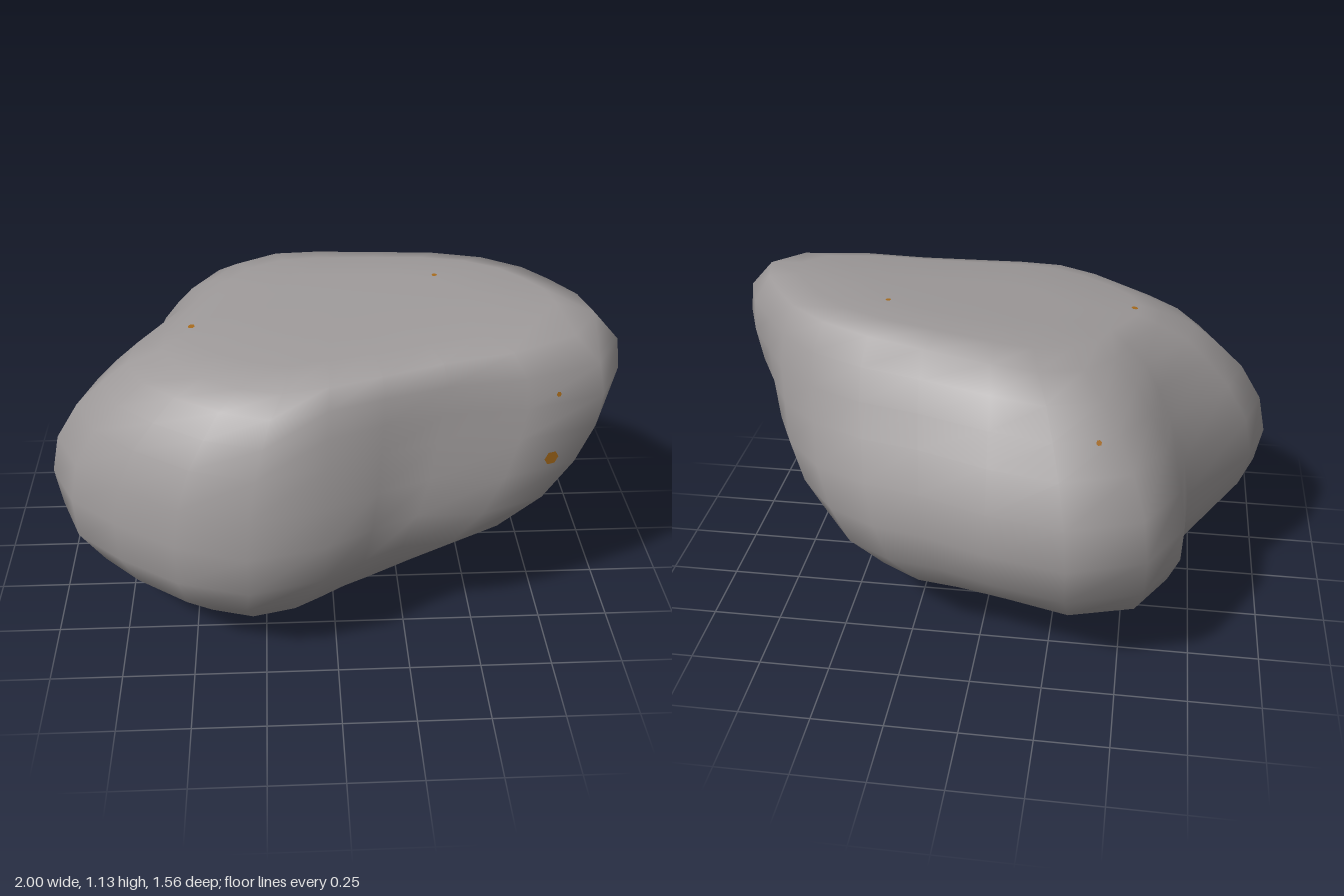
import * as THREE from 'three';

// widest outline of the boulder as x, z pairs, running back > left > front > right
const OUTLINE = [
  [-0.32, -0.78], [-0.05, -0.72], [0.2, -0.61], [0.4, -0.55], [0.58, -0.45], [0.71, -0.3],
  [0.79, -0.15], [0.91, 0.03], [1, 0.25], [0.91, 0.47], [0.63, 0.56], [0.35, 0.56],
  [0.15, 0.63], [-0.04, 0.72], [-0.3, 0.78], [-0.54, 0.7], [-0.75, 0.56], [-0.91, 0.42],
  [-1, 0.23], [-0.94, 0.04], [-0.71, -0.26], [-0.7, -0.48], [-0.58, -0.69],
];

// rings from bottom to top: y, xMin, xMax, zMin, zMax, roundness, back shoulder fill, underside skew, tilt
const RINGS = [
  [0.015, -0.34, 0, -0.06, 0.3, 0.9, 0, 0.04, 0],
  [0.05, -0.48, 0.12, -0.27, 0.45, 0.65, 0.3, 0.06, 0],
  [0.13, -0.68, 0.31, -0.46, 0.59, 0.4, 0.6, 0.1, 0],
  [0.25, -0.85, 0.52, -0.63, 0.69, 0.2, 0.75, 0.09, 0],
  [0.38, -0.96, 0.67, -0.74, 0.77, 0.05, 0.8, 0.04, 0],
  [0.52, -1, 0.79, -0.78, 0.78, 0, 0.7, 0, 0],
  [0.66, -0.97, 0.9, -0.75, 0.76, 0, 0.45, 0, 0],
  [0.79, -0.89, 0.97, -0.67, 0.715, 0, 0.25, 0, 0],
  [0.89, -0.8, 1, -0.595, 0.675, 0.1, 0.1, 0, 0.2],
  [0.98, -0.71, 0.99, -0.52, 0.63, 0.22, 0, 0, 0.5],
  [1.05, -0.59, 0.91, -0.43, 0.57, 0.4, 0, 0, 1],
  [1.08, -0.51, 0.78, -0.31, 0.45, 0.45, 0, 0, 1],
  [1.085, -0.22, 0.45, -0.15, 0.22, 0.45, 0, 0, 1],
];

// the top rises towards the left end and the back
const lean = (x, z) => 0.075 * x - 0.035 * z;

function boulderGeometry() {
  const n = OUTLINE.length;
  const pos = [-0.18, 0, 0.14];
  const index = [];
  for (const [y, x0, x1, z0, z1, round, fill, skew, tilt] of RINGS) {
    const cx = Math.min(0, -0.18 + 0.45 * y);
    for (const [u, oz] of OUTLINE) {
      const v = oz / 0.78;
      // round the outline, with a fuller shoulder at the back of the left end
      const shoulder = THREE.MathUtils.clamp(u * 1.5, 0, 1) * (1 - THREE.MathUtils.smoothstep(v, -0.1, 0.3));
      const rounded = THREE.MathUtils.lerp(1, 1 / Math.hypot(u, v), Math.min(1, round + fill * shoulder));
      // the underside is cut away at the front left and fuller at the other corners
      const corner = Math.min(1, 2 * Math.abs(u * v)) * (u > 0 && v > 0 ? -1.2 : 0.8);
      const k = rounded * (1 + skew * corner);
      const x = cx + u * k * (u > 0 ? x1 - cx : cx - x0);
      const z = (z0 + z1) / 2 + (v * k * (z1 - z0)) / 2;
      pos.push(x, y + tilt * lean(x, z), z);
    }
  }
  pos.push(0.1, 1.085 + lean(0.1, 0), 0);
  const top = 1 + RINGS.length * n;
  for (let j = 0; j < n; j++) {
    const k = (j + 1) % n;
    index.push(0, 1 + j, 1 + k);
    for (let i = 0; i < RINGS.length - 1; i++) {
      const a = 1 + i * n + j, b = 1 + i * n + k;
      index.push(a, a + n, b, b, a + n, b + n);
    }
    index.push(top - n + j, top, top - n + k);
  }
  const geo = new THREE.BufferGeometry();
  geo.setAttribute('position', new THREE.Float32BufferAttribute(pos, 3));
  geo.setIndex(index);
  geo.computeVertexNormals();
  return geo;
}

export function createModel() {
  const group = new THREE.Group();
  group.name = 'boulder';
  const stone = new THREE.MeshStandardMaterial({ color: 0x9d9999 });
  stone.name = 'grey stone';
  const rust = new THREE.MeshStandardMaterial({ color: 0xa66a1c });
  rust.name = 'rusty orange';

  const body = new THREE.Mesh(boulderGeometry(), stone);
  body.name = 'stoneBody';
  group.add(body);
  body.updateMatrixWorld(true);

  // small mineral flecks, dropped onto the surface: start point, direction, radius
  const front = [0, 0, -1], side = [-1, 0, 0], down = [0, -1, 0];
  const flecks = [
    [[0.73, 0.7, 3], front, 0.027],
    [[0.74, 0.93, 3], front, 0.009],
    [[3, 0.61, 0.35], side, 0.013],
    [[-0.4, 3, -0.55], down, 0.01],
    [[0.38, 3, -0.07], down, 0.01],
    [[-0.48, 3, 0.14], down, 0.013],
  ];
  const ray = new THREE.Raycaster();
  for (const [from, dir, radius] of flecks) {
    ray.set(new THREE.Vector3(...from), new THREE.Vector3(...dir));
    const hit = ray.intersectObject(body)[0];
    if (!hit) continue;
    const fleck = new THREE.Mesh(new THREE.CircleGeometry(radius, 6), rust);
    fleck.name = 'mineralFleck';
    fleck.position.copy(hit.point).addScaledVector(hit.face.normal, 0.003);
    fleck.quaternion.setFromUnitVectors(new THREE.Vector3(0, 0, 1), hit.face.normal);
    group.add(fleck);
  }
  return group;
}
